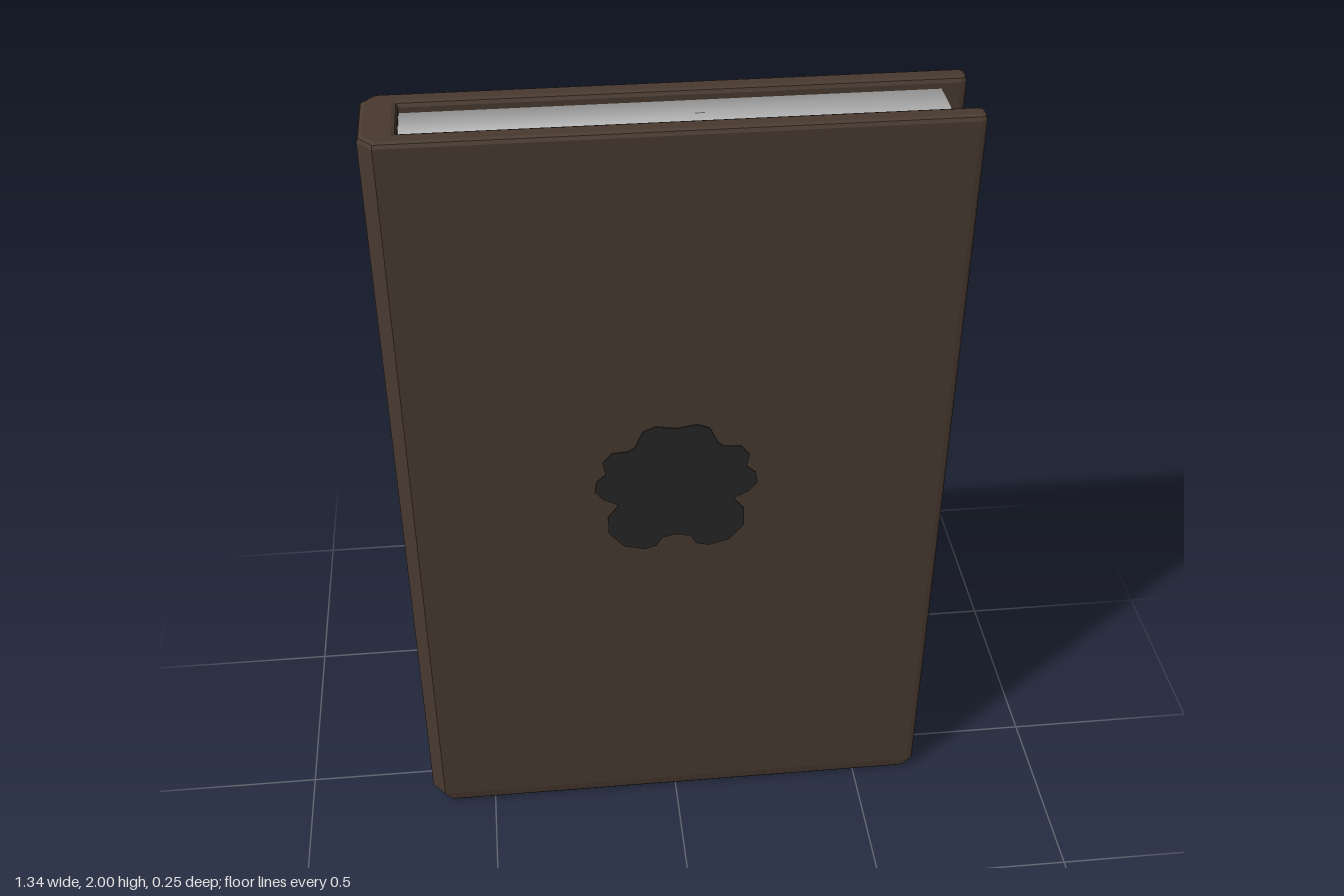
import * as THREE from 'three';
import { mergeVertices } from 'three/addons/utils/BufferGeometryUtils.js';

const coverMat = new THREE.MeshStandardMaterial({ color: 0x48392f });
coverMat.name = 'brownLeather';
const pageMat = new THREE.MeshStandardMaterial({ color: 0xe7e7e7 });
pageMat.name = 'paper';
const emblemMat = new THREE.MeshStandardMaterial({ color: 0x252525 });
emblemMat.name = 'darkStamp';

function part(name, geometry, material) {
  const mesh = new THREE.Mesh(geometry, material);
  mesh.name = name;
  return mesh;
}

// Cover: U-shaped section (spine and two boards) extruded upward with bevels
function coverGeometry() {
  const X = 0.668, Z = 0.122, inner = 0.07, spine = -0.585, r = 0.017, bevel = 0.012;
  const s = new THREE.Shape();
  s.moveTo(-X, -0.085);
  s.lineTo(-0.635, -Z);
  s.lineTo(X - r, -Z);
  s.quadraticCurveTo(X, -Z, X, -Z + r);
  s.lineTo(X, -inner - r);
  s.quadraticCurveTo(X, -inner, X - r, -inner);
  s.lineTo(spine, -inner);
  s.lineTo(spine, inner);
  s.lineTo(X - r, inner);
  s.quadraticCurveTo(X, inner, X, inner + r);
  s.lineTo(X, Z - r);
  s.quadraticCurveTo(X, Z, X - r, Z);
  s.lineTo(-0.635, Z);
  s.lineTo(-X, 0.085);
  s.closePath();
  const geo = new THREE.ExtrudeGeometry(s, {
    depth: 2 - 2 * bevel, curveSegments: 3,
    bevelThickness: bevel, bevelSize: bevel, bevelOffset: -bevel, bevelSegments: 2,
  });
  geo.rotateX(-Math.PI / 2).translate(0, bevel, 0);
  // Widen the bottom bevel into a larger corner chamfer
  const p = geo.attributes.position;
  for (let i = 0; i < p.count; i++) {
    const t = p.getY(i) / bevel;
    if (t > 1.001) continue;
    p.setY(i, t * 0.035);
    p.setX(i, p.getX(i) * (0.965 + 0.035 * t));
  }
  geo.computeVertexNormals();
  return geo;
}

// Page block with softly blended normals across its corners
function pageGeometry() {
  let geo = new THREE.BoxGeometry(1.195, 1.935, 0.141);
  geo.deleteAttribute('normal');
  geo.deleteAttribute('uv');
  geo = mergeVertices(geo);
  geo.computeVertexNormals();
  return geo.translate(0.0125, 1.0075, 0);
}

// Lobed rosette: half outline mirrored across x = 0
function emblemGeometry() {
  const half = [
    [0.05, 1.238], [0.08, 1.225], [0.1, 1.18], [0.115, 1.17], [0.155, 1.167],
    [0.177, 1.14], [0.17, 1.105], [0.193, 1.085], [0.198, 1.055], [0.178, 1.03],
    [0.14, 1.01], [0.167, 0.975], [0.168, 0.925], [0.13, 0.88], [0.08, 0.867],
    [0.05, 0.875], [0.035, 0.9],
  ];
  const mirrored = half.map(([x, y]) => [-x, y]).reverse();
  const outline = [[0, 1.23], ...half, [0, 0.908], ...mirrored];
  const shape = new THREE.Shape(outline.map(([x, y]) => new THREE.Vector2(x, y)));
  const geo = new THREE.ExtrudeGeometry(shape, { depth: 0.006, bevelEnabled: false });
  return geo.translate(0, 0, 0.119);
}

export function createModel() {
  const book = new THREE.Group();
  book.name = 'book';
  book.add(
    part('cover', coverGeometry(), coverMat),
    part('pages', pageGeometry(), pageMat),
    part('frontEmblem', emblemGeometry(), emblemMat),
  );
  return book;
}
